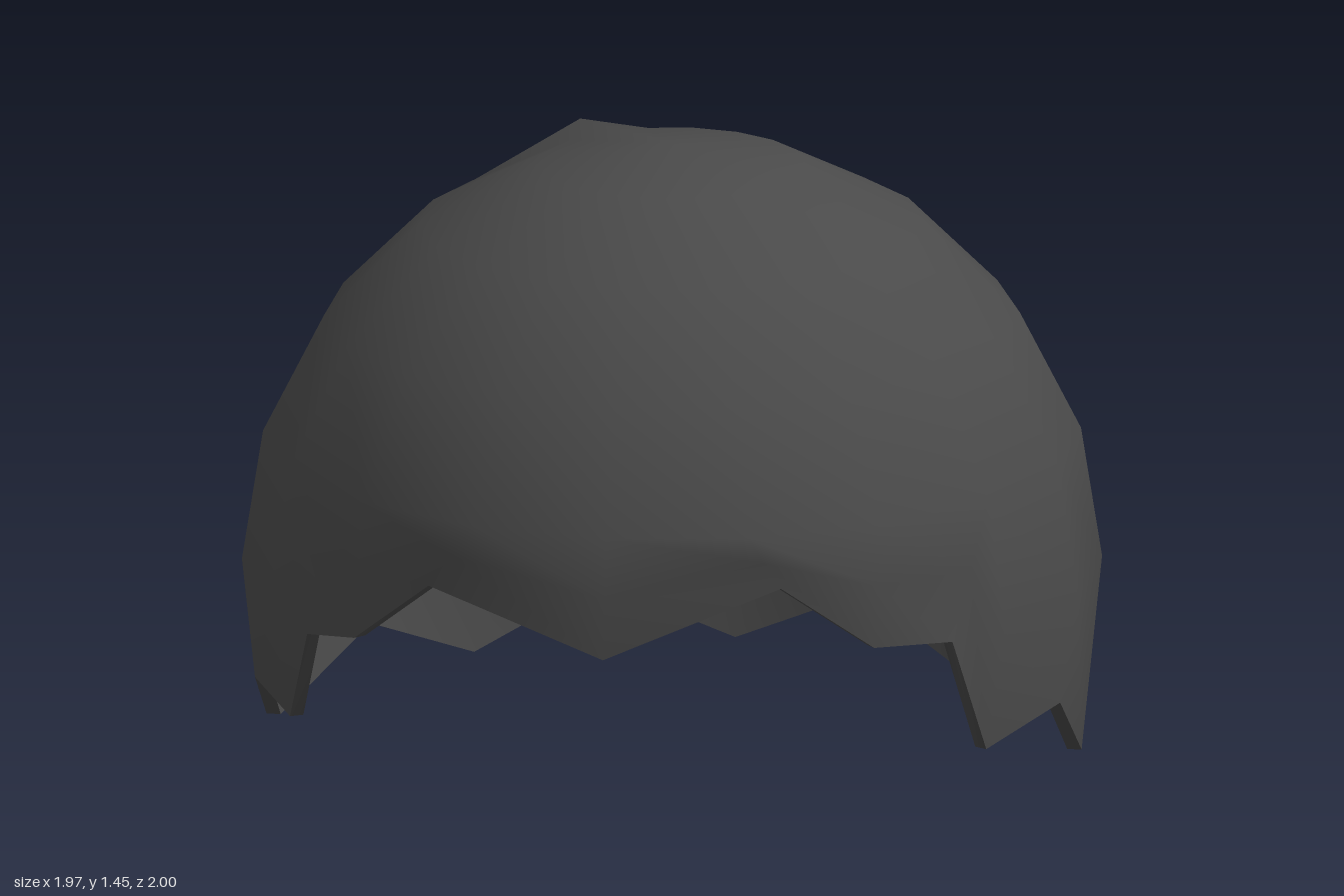
import * as THREE from 'three';
import { mergeVertices } from 'three/addons/utils/BufferGeometryUtils.js';

const CENTRE = 0.45; // height of the dome's equator

// Hem points from front to back: [column angle, x, y, z, reaches equator]
const back = [
  [120, 0.81, 0.13, -0.46, 1],
  [140, 0.60, 0.00, -0.72, 1],
  [160, 0.32, 0.14, -0.87, 1],
];
const front = [[0, 0, 0.48, 1, 0]];
const rear = [[180, 0, 0, -0.95, 1]];
const leftHem = [
  [20, 0.39, 0.62, 0.82, 0],
  [40, 0.60, 0.47, 0.76, 0],
  [60, 0.76, 0.45, 0.61, 0],
  [60, 0.82, 0.16, 0.49, 1],
  [80, 0.96, 0.22, 0.28, 1],
  [100, 0.96, 0.02, -0.03, 1],
  ...back,
];
const rightHem = [
  [20, 0.44, 0.59, 0.82, 0],
  [40, 0.63, 0.43, 0.73, 0],
  [60, 0.76, 0.40, 0.61, 0],
  [60, 0.82, 0.165, 0.49, 1],
  [80, 0.94, 0.19, 0.26, 1],
  [100, 0.96, 0.02, -0.03, 1],
  ...back,
];

// Point on the unit dome: polar angle from the crown, angle around from +z
function domePoint(polar, around) {
  const p = THREE.MathUtils.degToRad(polar), a = THREE.MathUtils.degToRad(around);
  return new THREE.Vector3(Math.sin(p) * Math.sin(a), CENTRE + Math.cos(p), Math.sin(p) * Math.cos(a));
}

// One column of points running from the crown to the hem
function makeColumn([angle, x, y, z, toEquator]) {
  const rows = [0, 18, 36, 54, 72].map((polar) =>
    polar ? domePoint(polar, angle) : new THREE.Vector3(0, CENTRE + 1, 0));
  const hem = new THREE.Vector3(x, y, z);
  rows.push(toEquator ? domePoint(90, angle) : rows[4].clone().lerp(hem, 0.5), hem);
  return rows;
}

// Closed strip of columns, smooth shaded
function loft(columns, inward = false) {
  const pos = [];
  const tri = (a, b, c) => {
    if (a.distanceTo(b) < 1e-5 || b.distanceTo(c) < 1e-5 || c.distanceTo(a) < 1e-5) return;
    for (const v of inward ? [a, c, b] : [a, b, c]) pos.push(v.x, v.y, v.z);
  };
  columns.forEach((col, i) => {
    const next = columns[(i + 1) % columns.length];
    for (let j = 0; j < col.length - 1; j++) {
      tri(col[j], col[j + 1], next[j + 1]);
      tri(col[j], next[j + 1], next[j]);
    }
  });
  const geo = new THREE.BufferGeometry();
  geo.setAttribute('position', new THREE.Float32BufferAttribute(pos, 3));
  const merged = mergeVertices(geo, 1e-4);
  merged.computeVertexNormals();
  return merged;
}

export function createModel() {
  const group = new THREE.Group();
  group.name = 'hairCap';
  const material = new THREE.MeshStandardMaterial({ color: 0x4a4a4a });
  const add = (name, geometry) => {
    const mesh = new THREE.Mesh(geometry, material);
    mesh.name = name;
    group.add(mesh);
  };

  const mirrored = rightHem.map(([a, x, y, z, e]) => [-a, -x, y, z, e]).reverse();
  const outer = [...front, ...leftHem, ...rear, ...mirrored].map(makeColumn);

  // Small raised tuft behind the crown
  const tuft = outer[11 + mirrored.findIndex(([a]) => a === -140)];
  tuft[1].set(-0.27, 1.405, -0.33);

  // Lining set slightly inside the outer shell
  const inner = outer.map((col, i) => col.map((v, j) => {
    const p = (col === tuft && j === 1) ? domePoint(18, -140) : v;
    const k = 0.965;
    const y = p.y > CENTRE ? CENTRE + (p.y - CENTRE) * k : p.y;
    return new THREE.Vector3(p.x * k, y, p.z * k);
  }));

  add('outerHair', loft(outer));
  add('innerLining', loft(inner, true));
  add('hemEdge', loft(outer.map((col, i) => [col[6], inner[i][6]])));
  return group;
}
